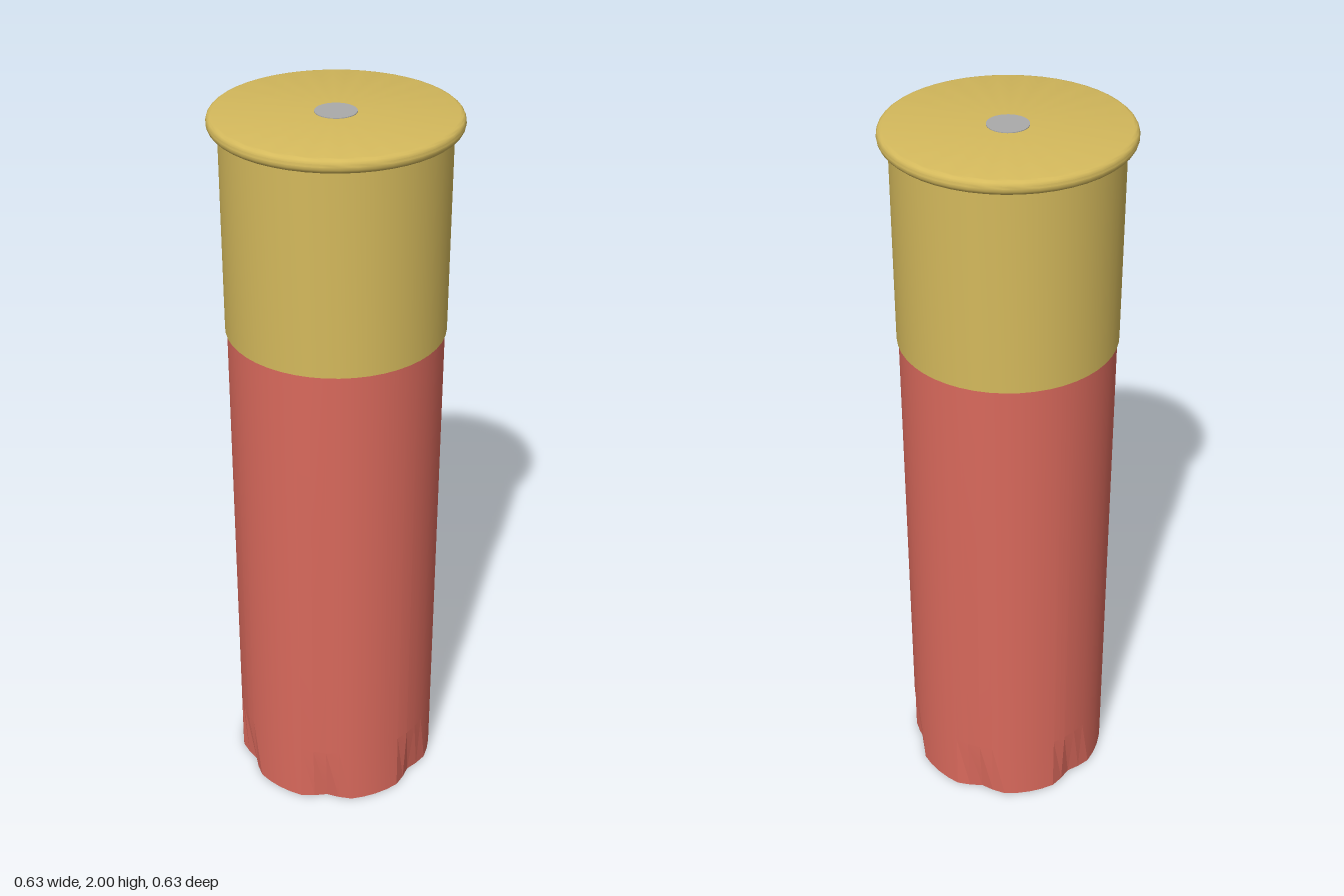
import * as THREE from 'three';
import { toCreasedNormals } from 'three/addons/utils/BufferGeometryUtils.js';

const SEGMENTS = 48;
const FLUTES = 6;
const FLUTE_TOP = 0.18;
const FLUTE_DEPTH = 0.021;
const FLUTE_HALF_ANGLE = Math.PI / 12;

function lathe(profile, crease) {
  const points = profile.map(([r, y]) => new THREE.Vector2(r, y));
  return toCreasedNormals(new THREE.LatheGeometry(points, SEGMENTS), crease);
}

// Presses shallow vertical flutes into the open end, deepest at the mouth
function pressFlutes(geometry) {
  const p = geometry.attributes.position;
  const step = (Math.PI * 2) / FLUTES;
  for (let i = 0; i < p.count; i++) {
    const x = p.getX(i), y = p.getY(i), z = p.getZ(i);
    const r = Math.hypot(x, z);
    if (y >= FLUTE_TOP || r < 0.01) continue;
    // Angular distance to the nearest flute; one flute faces the front
    const angle = Math.atan2(x, z);
    const away = Math.abs(angle - Math.round(angle / step) * step);
    const t = Math.min(away / FLUTE_HALF_ANGLE, 1);
    const dent = FLUTE_DEPTH * 0.5 * (1 + Math.cos(Math.PI * t)) * (1 - y / FLUTE_TOP);
    p.setX(i, x * (r - dent) / r);
    p.setZ(i, z * (r - dent) / r);
  }
  return geometry;
}

export function createModel() {
  const red = new THREE.MeshStandardMaterial({ color: 0xd9695c });
  red.name = 'red plastic';
  const brass = new THREE.MeshStandardMaterial({ color: 0xd4b95c });
  brass.name = 'brass';
  const grey = new THREE.MeshStandardMaterial({ color: 0xaaaaaa });
  grey.name = 'grey metal';

  const group = new THREE.Group();
  const add = (name, geometry, material) => {
    const mesh = new THREE.Mesh(geometry, material);
    mesh.name = name;
    group.add(mesh);
    return mesh;
  };

  // Hollow tube: closed inside at the top, open at the bottom
  const tube = new THREE.LatheGeometry([
    [0, 1.9], [0.27, 1.9], [0.27, FLUTE_TOP], [0.27, 0],
    [0.284, 0], [0.284, FLUTE_TOP], [0.284, 1.43],
  ].map(([r, y]) => new THREE.Vector2(r, y)), SEGMENTS);
  add('tube', toCreasedNormals(pressFlutes(tube), 0.14), red);

  // Metal sleeve with a small lip over the tube
  add('sleeve', lathe([[0.28, 1.42], [0.289, 1.42], [0.289, 1.97]], 0.5), brass);

  // Rounded rim and flat base
  const rim = [[0.28, 1.962], [0.302, 1.962]];
  for (let i = 1; i <= 8; i++) {
    const a = -Math.PI / 2 + (Math.PI * i) / 8;
    rim.push([0.302 + 0.014 * Math.cos(a), 1.98 + 0.018 * Math.sin(a)]);
  }
  rim.push([0, 1.998]);
  add('rim', lathe(rim, 0.6), brass);

  // Thin primer disc set in the centre of the base
  const primer = add('primer', new THREE.CylinderGeometry(0.053, 0.053, 0.006, 32), grey);
  primer.position.y = 1.997;

  return group;
}
